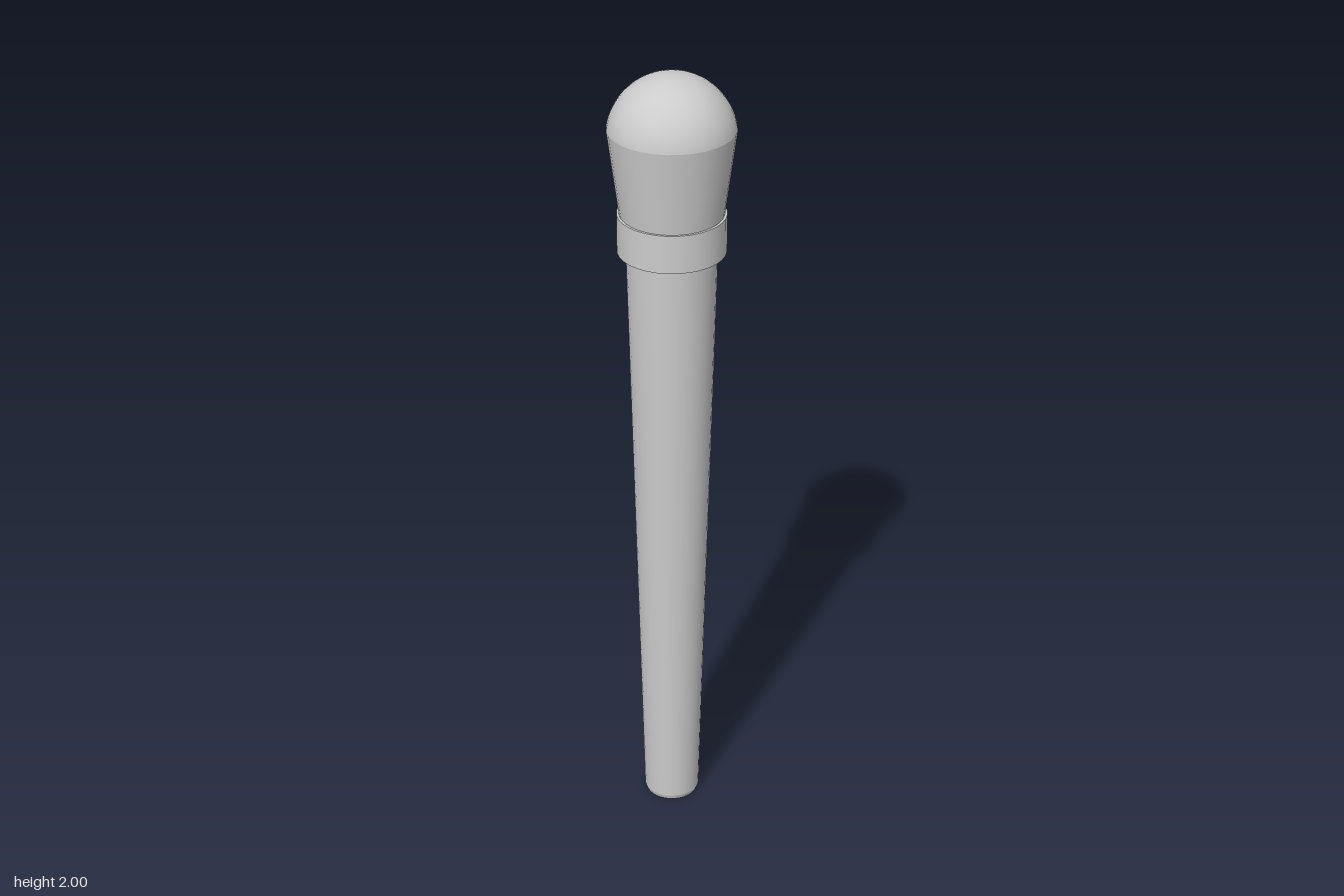
import * as THREE from 'three';

const SEGMENTS = 32;

export function createModel() {
  const group = new THREE.Group();
  const material = new THREE.MeshStandardMaterial({ color: 0xcccccc });

  const add = (name, geometry, y = 0) => {
    const mesh = new THREE.Mesh(geometry, material);
    mesh.name = name;
    mesh.position.y = y;
    group.add(mesh);
  };

  // Tapered shaft, its top hidden inside the collar
  const shaftHeight = 1.6;
  add('shaft', new THREE.CylinderGeometry(0.11, 0.07, shaftHeight - 0.012, SEGMENTS), shaftHeight / 2 + 0.006);

  // Small chamfer and flat end at the foot
  add('foot', new THREE.CylinderGeometry(0.07, 0.066, 0.012, SEGMENTS), 0.006);

  // Straight collar joining shaft and head
  add('collar', new THREE.CylinderGeometry(0.13, 0.13, 0.096, SEGMENTS), 1.608);

  // Flared lower part of the head
  const rimY = 1.868;
  const rimRadius = 0.152;
  const flareBottom = 1.64;
  add(
    'headFlare',
    new THREE.CylinderGeometry(rimRadius, 0.122, rimY - flareBottom, SEGMENTS, 1, true),
    (rimY + flareBottom) / 2
  );

  // Dome: spherical cap rising from the rim to the top
  const capHeight = 2 - rimY;
  const capRadius = (rimRadius ** 2 + capHeight ** 2) / (2 * capHeight);
  const capAngle = Math.acos((capRadius - capHeight) / capRadius);
  add(
    'headDome',
    new THREE.SphereGeometry(capRadius, SEGMENTS, 16, Math.PI / 2, Math.PI * 2, 0, capAngle),
    2 - capRadius
  );

  return group;
}
